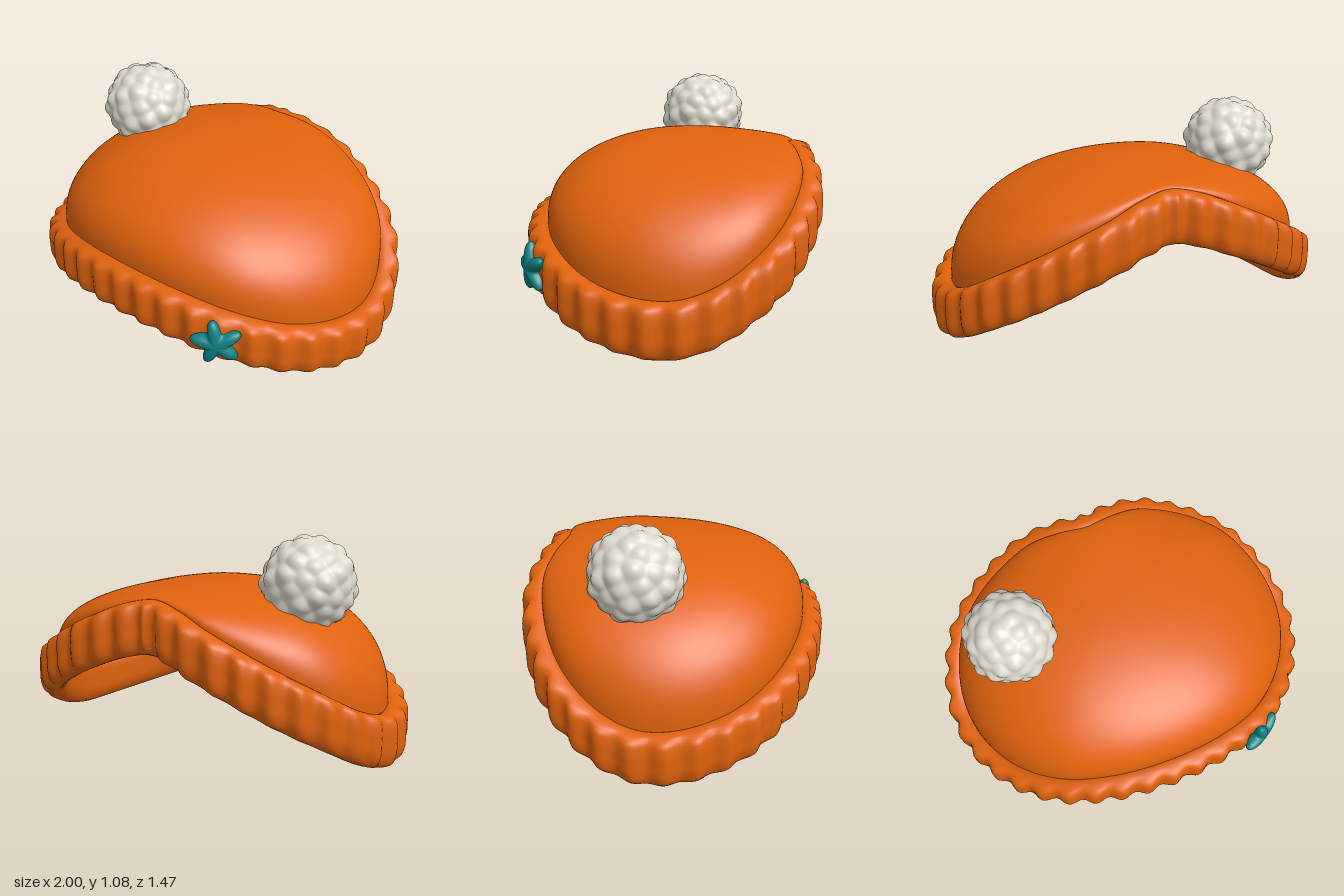
import * as THREE from 'three';
import { mergeVertices } from 'three/addons/utils/BufferGeometryUtils.js';

const orange = new THREE.MeshStandardMaterial({ color: 0xe0620d, side: THREE.DoubleSide });
orange.name = 'orange knit';
const cream = new THREE.MeshStandardMaterial({ color: 0xddd8cc });
cream.name = 'cream wool';
const teal = new THREE.MeshStandardMaterial({ color: 0x0f8285 });
teal.name = 'teal';

const V = (x, y, z) => new THREE.Vector3(x, y, z);

// Half of the line where the dome meets the band, from front centre to back centre
const half = [
  [0, 0.45, 0.63], [0.3, 0.43, 0.6], [0.55, 0.375, 0.51], [0.75, 0.3, 0.34],
  [0.87, 0.257, 0.12], [0.9, 0.257, -0.07], [0.865, 0.315, -0.25], [0.76, 0.43, -0.43],
  [0.58, 0.55, -0.56], [0.32, 0.69, -0.638], [0.14, 0.765, -0.618], [0, 0.79, -0.59],
];
const mirrored = half.slice(1, -1).reverse().map(([x, y, z]) => [-x, y, z]);
const rim = new THREE.CatmullRomCurve3([...half, ...mirrored].map((p) => V(...p)), true);

// Smooth surface on a grid that closes around i, and around j if wrapJ is set
function gridSurface(ni, nj, wrapJ, at) {
  const pos = [], idx = [];
  for (let j = 0; j < nj; j++) for (let i = 0; i < ni; i++) pos.push(...at(i, j).toArray());
  for (let j = 0; j < (wrapJ ? nj : nj - 1); j++) {
    for (let i = 0; i < ni; i++) {
      const i2 = (i + 1) % ni, j2 = (j + 1) % nj;
      const a = j * ni + i, b = j * ni + i2, c = j2 * ni + i2, d = j2 * ni + i;
      idx.push(a, b, c, a, c, d);
    }
  }
  const g = new THREE.BufferGeometry();
  g.setAttribute('position', new THREE.Float32BufferAttribute(pos, 3));
  g.setIndex(idx);
  g.computeVertexNormals();
  return g;
}

// Drops uv and normals so seams close, then smooths
function smooth(g) {
  g.deleteAttribute('uv');
  g.deleteAttribute('normal');
  const m = mergeVertices(g, 1e-5);
  m.computeVertexNormals();
  return m;
}

function part(name, geometry, material) {
  const mesh = new THREE.Mesh(geometry, material);
  mesh.name = name;
  return mesh;
}

// Dome: rounded shell rising from the rim line to a flat crown
function dome() {
  const n = 160, rows = 33;
  const line = rim.getSpacedPoints(n);
  const crown = V(-0.1, 0.835, -0.08);
  return gridSurface(n, rows, false, (i, j) => {
    const u = (j / (rows - 1)) * Math.PI / 2;
    const p = line[i].clone().lerp(crown, 1 - Math.cos(u));
    p.y = line[i].y + (crown.y - line[i].y) * Math.pow(Math.sin(u), 0.87);
    return p;
  });
}

// Band: rounded section swept round the rim, with vertical ribs on the outside
function band() {
  const n = 400, ribs = 40;
  const line = rim.getSpacedPoints(n);
  const section = new THREE.CatmullRomCurve3([
    [-0.035, -0.12], [-0.03, -0.19], [-0.005, -0.24], [0.03, -0.252], [0.066, -0.235], [0.086, -0.18],
    [0.088, -0.12], [0.087, -0.06], [0.074, -0.012], [0.04, 0.004], [0, 0.002], [-0.03, -0.03],
  ].map(([o, h]) => V(o, h, 0)), true);
  const m = 36, sec = section.getSpacedPoints(m);
  return gridSurface(n, m, true, (i, j) => {
    const p = line[i], a = line[(i + n - 2) % n], b = line[(i + 2) % n];
    const out = V(a.z - b.z, 0, b.x - a.x).normalize();
    const s = sec[j];
    const weight = THREE.MathUtils.smoothstep(s.x, 0.02, 0.085);
    const rib = 0.013 * weight * Math.cos((i / n) * ribs * Math.PI * 2);
    return p.clone().addScaledVector(out, s.x + rib).add(V(0, s.y, 0));
  });
}

// Pompom: ball with evenly scattered round tufts
function pompom() {
  const g = smooth(new THREE.IcosahedronGeometry(1, 24));
  const tufts = [], count = 75;
  for (let k = 0; k < count; k++) {
    const y = 1 - (2 * (k + 0.5)) / count, r = Math.sqrt(1 - y * y), t = k * 2.39996;
    const wobble = 0.1 * Math.sin(k * 7.3);
    tufts.push(V(r * Math.cos(t + wobble), y + 0.6 * wobble, r * Math.sin(t + wobble)).normalize());
  }
  const pos = g.attributes.position, v = V(0, 0, 0);
  for (let i = 0; i < pos.count; i++) {
    v.fromBufferAttribute(pos, i).normalize();
    let bump = 0;
    tufts.forEach((t, k) => {
      const d2 = v.distanceToSquared(t);
      bump = Math.max(bump, (0.8 + 0.2 * Math.sin(k * 3.1)) * Math.exp(-d2 / 0.045));
    });
    v.multiplyScalar(0.208 + 0.028 * bump);
    pos.setXYZ(i, v.x, v.y, v.z);
  }
  g.computeVertexNormals();
  return g;
}

// Star: puffy five-armed cushion facing +z
function star() {
  const g = smooth(new THREE.SphereGeometry(1, 80, 32).rotateX(Math.PI / 2));
  const pos = g.attributes.position;
  for (let i = 0; i < pos.count; i++) {
    const x = pos.getX(i), y = pos.getY(i), z = pos.getZ(i);
    const a = Math.atan2(y, x), s = Math.min(1, Math.hypot(x, y));
    const c = 0.5 + 0.5 * Math.cos(5 * (a - Math.PI / 2));
    const r = (0.064 + 0.062 * Math.pow(c, 1.2)) * Math.pow(s, 0.85);
    pos.setXYZ(i, r * Math.cos(a), r * Math.sin(a), 0.042 * z);
  }
  g.computeVertexNormals();
  return g;
}

export function createModel() {
  const hat = new THREE.Group();
  hat.name = 'knitHat';
  hat.add(part('dome', dome(), orange), part('ribbedBand', band(), orange));

  const ball = part('pompom', pompom(), cream);
  ball.position.set(-0.55, 0.85, -0.13);
  hat.add(ball);

  const badge = part('starBadge', star(), teal);
  badge.position.set(0.535, 0.267, 0.625);
  badge.rotation.set(0, Math.atan2(0.53, 0.85), 0.2);
  hat.add(badge);
  return hat;
}
